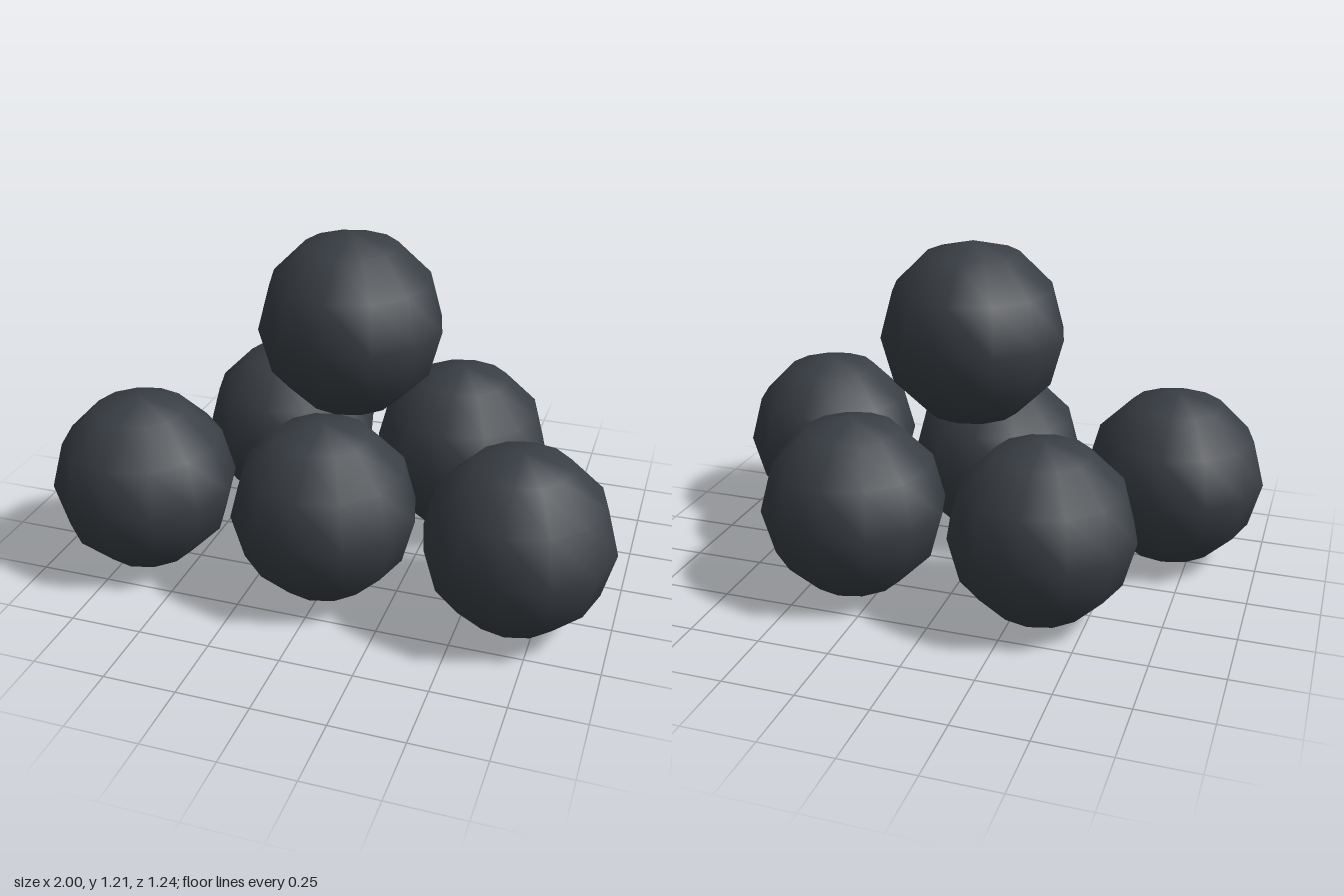
import * as THREE from 'three';

export function createModel() {
  const group = new THREE.Group();
  group.name = 'ballPile';

  const ironMaterial = new THREE.MeshStandardMaterial({ color: 0x3a3f45 });
  ironMaterial.name = 'dark iron';

  // One smooth, twelve-sided ball shared by the whole pile
  const ballGeometry = new THREE.SphereGeometry(0.323, 12, 6);

  function addBall(name, x, y, z) {
    const ball = new THREE.Mesh(ballGeometry, ironMaterial);
    ball.name = name;
    ball.position.set(x, y, z);
    group.add(ball);
  }

  const spacing = 0.676;
  const baseY = 0.327;

  // Front row of three
  ['Right', 'Middle', 'Left'].forEach((side, i) =>
    addBall('frontBall' + side, (i - 1) * spacing, baseY, 0.298));

  // Back row of two, set in the gaps
  ['Right', 'Left'].forEach((side, i) =>
    addBall('backBall' + side, (i - 0.5) * spacing, baseY, -0.298));

  // Single ball on top
  addBall('topBall', 0, 0.895, 0);

  return group;
}
